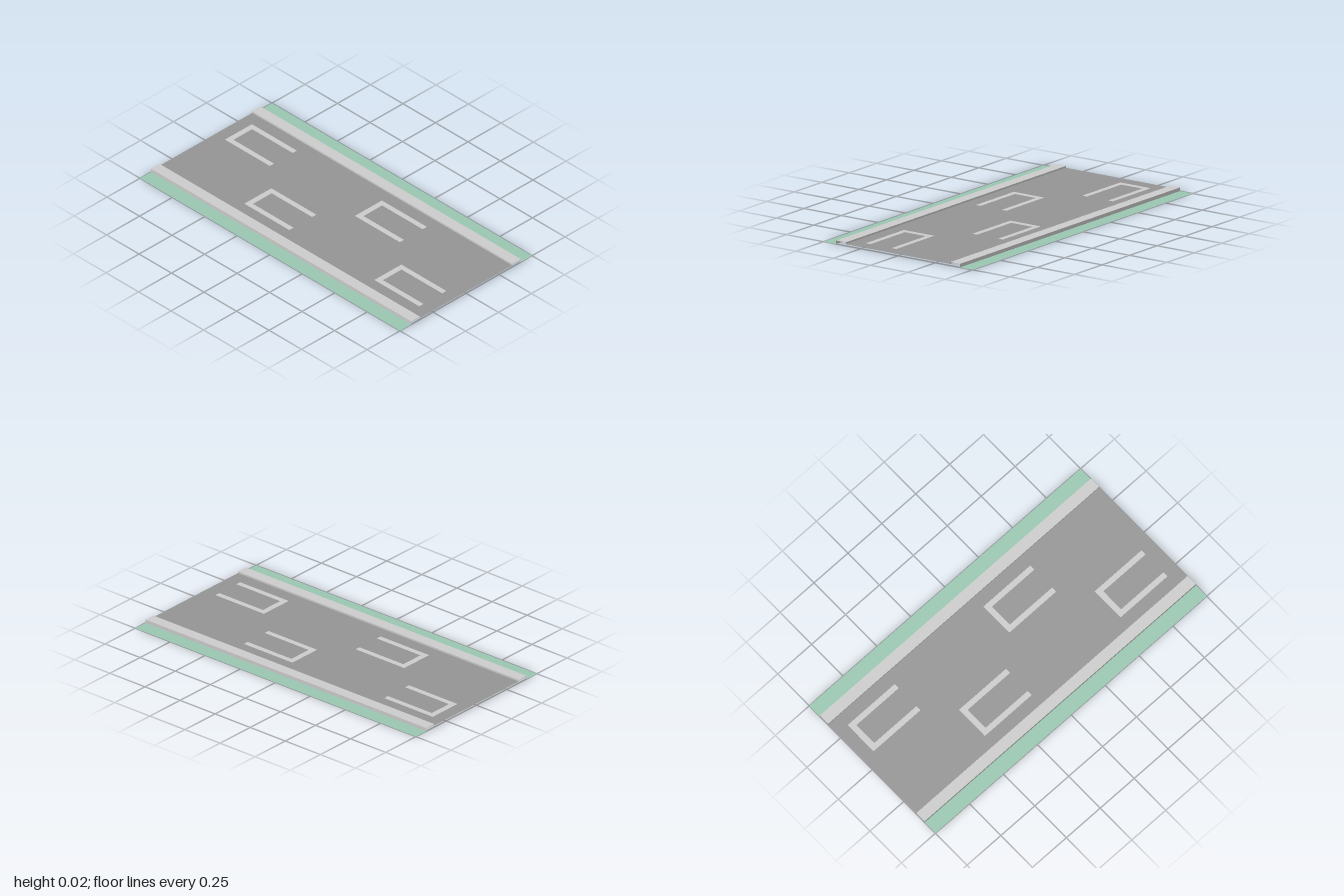
import * as THREE from 'three';

const LENGTH = 2;
const ROAD_X = 0.35, CURB_X = 0.415, EDGE_X = 0.5;
const ROAD_Y = 0.01, CURB_Y = 0.02;

const material = (color) =>
  new THREE.MeshStandardMaterial({ color, side: THREE.DoubleSide, flatShading: true });
const asphalt = material(0x949494);
const concrete = material(0xcccccc);
const grass = material(0x99c6b1);

// Open sheet: a cross-section of [x, y] points swept along the whole length.
function sheet(name, points, mat) {
  const positions = [], index = [];
  points.forEach(([x, y], i) => {
    positions.push(x, y, -LENGTH / 2, x, y, LENGTH / 2);
    if (i > 0) {
      const a = 2 * (i - 1);
      index.push(a, a + 1, a + 2, a + 1, a + 3, a + 2);
    }
  });
  const geometry = new THREE.BufferGeometry();
  geometry.setAttribute('position', new THREE.Float32BufferAttribute(positions, 3));
  geometry.setIndex(index);
  geometry.computeVertexNormals();
  const mesh = new THREE.Mesh(geometry, mat);
  mesh.name = name;
  return mesh;
}

// Flat shape drawn in x and -z, laid down at road height.
function flat(name, shape, mat) {
  const mesh = new THREE.Mesh(new THREE.ShapeGeometry(shape).rotateX(-Math.PI / 2), mat);
  mesh.position.y = ROAD_Y;
  mesh.name = name;
  return mesh;
}

// Corners of a painted bay: a crossbar at the back with two legs towards the front.
function bayOutline(cx, zBack) {
  const w = 0.1025, stroke = 0.032, legs = 0.346;
  return [
    [-w, legs], [-w + stroke, legs], [-w + stroke, 0.034], [w - stroke, 0.034],
    [w - stroke, legs], [w, legs], [w, 0], [-w, 0],
  ].map(([x, z]) => new THREE.Vector2(cx + x, -(zBack + z)));
}

export function createModel() {
  const model = new THREE.Group();
  model.name = 'roadSection';

  // Road surface, with the markings inlaid flush
  const road = new THREE.Shape([
    new THREE.Vector2(-ROAD_X, -1), new THREE.Vector2(ROAD_X, -1),
    new THREE.Vector2(ROAD_X, 1), new THREE.Vector2(-ROAD_X, 1),
  ]);
  for (let i = 0; i < 4; i++) {
    const outline = bayOutline(i % 2 ? -0.1725 : 0.1725, -0.926 + i * 0.5);
    road.holes.push(new THREE.Path(outline));
    model.add(flat('bayMarking' + (i + 1), new THREE.Shape(outline), concrete));
  }
  model.add(flat('roadSurface', road, asphalt));

  // Raised curbs, hollow underneath, and grass verges on both sides
  for (const [side, s] of [['left', 1], ['right', -1]]) {
    const curb = [[ROAD_X, ROAD_Y], [ROAD_X, CURB_Y], [CURB_X, CURB_Y], [CURB_X, 0]];
    const verge = [[CURB_X, 0], [EDGE_X, 0]];
    // Points run from -x to +x so that faces look upwards
    const place = (pts) => (s > 0 ? pts : pts.map(([x, y]) => [-x, y]).reverse());
    model.add(sheet(side + 'Curb', place(curb), concrete));
    model.add(sheet(side + 'Verge', place(verge), grass));
  }
  return model;
}
